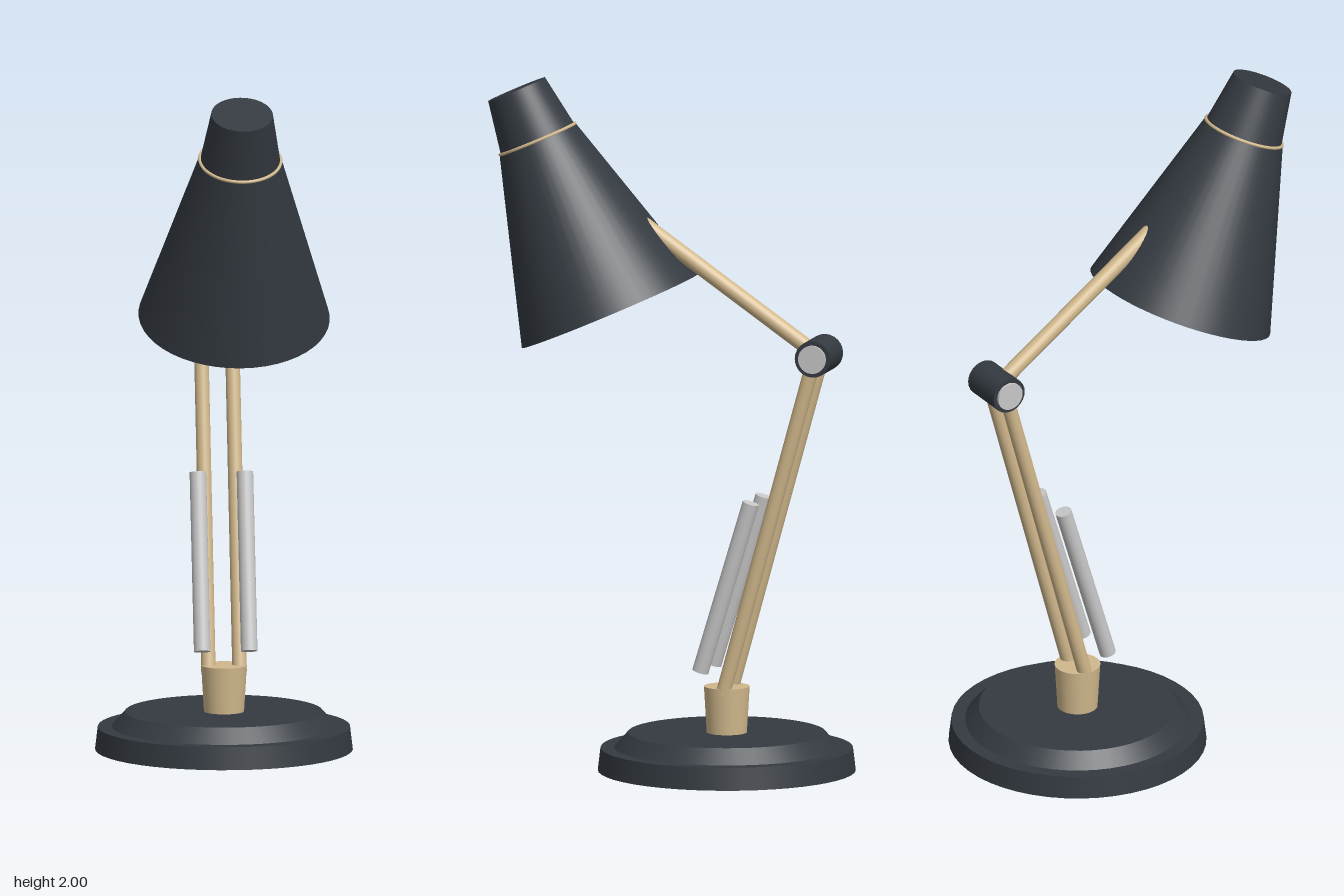
import * as THREE from 'three';

const mat = (name, color, side = THREE.FrontSide) => {
  const m = new THREE.MeshStandardMaterial({ color, side });
  m.name = name;
  return m;
};

export function createModel() {
  const charcoal = mat('charcoal', 0x343a41);
  const brass = mat('brass', 0xd1b88c);
  const silver = mat('silver', 0xc6c7c6);
  const white = mat('white', 0xe9e7e2, THREE.DoubleSide);
  const lamp = new THREE.Group();
  lamp.name = 'deskLamp';

  const add = (name, geometry, material, parent = lamp) => {
    const mesh = new THREE.Mesh(geometry, material);
    mesh.name = name;
    parent.add(mesh);
    return mesh;
  };
  // Upright round part standing at height y
  const drum = (name, rTop, rBottom, y, h, material, parent, open = false) => {
    const mesh = add(name, new THREE.CylinderGeometry(rTop, rBottom, h, 48, 1, open), material, parent);
    mesh.position.y = y + h / 2;
    return mesh;
  };
  // Straight rod between two points
  const rod = (name, a, b, r, material) => {
    const from = new THREE.Vector3(...a), to = new THREE.Vector3(...b);
    const dir = to.clone().sub(from);
    const mesh = add(name, new THREE.CylinderGeometry(r, r, dir.length(), 24), material);
    mesh.position.copy(from).add(to).multiplyScalar(0.5);
    mesh.quaternion.setFromUnitVectors(new THREE.Vector3(0, 1, 0), dir.normalize());
    return mesh;
  };

  // Stepped base and the hub on it
  const base = new THREE.Group();
  base.name = 'base';
  base.position.z = -0.167;
  lamp.add(base);
  drum('baseFoot', 0.364, 0.372, 0, 0.066, charcoal, base);
  drum('baseStep', 0.285, 0.324, 0.066, 0.044, charcoal, base);
  drum('hub', 0.066, 0.058, 0.11, 0.135, brass, base);

  // Paired lower arms and springs
  for (const s of [-1, 1]) {
    rod('lowerArm', [s * 0.045, 0.225, -0.167], [s * 0.045, 1.222, -0.442], 0.021, brass);
    rod('spring', [s * 0.068, 0.295, -0.107], [s * 0.068, 0.794, -0.258], 0.024, silver);
  }

  // Elbow joint with end caps
  rod('elbow', [-0.069, 1.222, -0.443], [0.069, 1.222, -0.443], 0.053, charcoal);
  for (const s of [-1, 1]) {
    rod('elbowCap', [s * 0.068, 1.222, -0.443], [s * 0.077, 1.222, -0.443], 0.041, silver);
  }
  rod('upperArm', [0, 1.222, -0.443], [0, 1.595, 0.1], 0.023, brass);

  // Tilted shade, origin at the centre of its opening
  const head = new THREE.Group();
  head.name = 'head';
  head.position.set(0, 1.325, 0.183);
  head.rotation.x = 0.415;
  lamp.add(head);
  const H = 0.538;
  drum('shade', 0.119, 0.276, 0, H, charcoal, head, true);
  drum('neck', 0.089, 0.115, H, 0.156, charcoal, head);
  const collar = add('collar', new THREE.TorusGeometry(0.117, 0.005, 8, 48), brass, head);
  collar.rotation.x = Math.PI / 2;
  collar.position.y = H;
  const rim = add('shadeRim', new THREE.RingGeometry(0.27, 0.276, 48), charcoal, head);
  rim.rotation.x = Math.PI / 2;

  // Pale lining and bulb
  drum('lining', 0.113, 0.27, 0, H - 0.004, white, head, true);
  const liningTop = add('liningTop', new THREE.CircleGeometry(0.113, 48), white, head);
  liningTop.rotation.x = Math.PI / 2;
  liningTop.position.y = H - 0.004;
  add('bulb', new THREE.SphereGeometry(0.1, 32, 20), white, head).position.y = 0.24;
  drum('bulbSocket', 0.05, 0.05, 0.32, H - 0.33, silver, head);

  return lamp;
}
